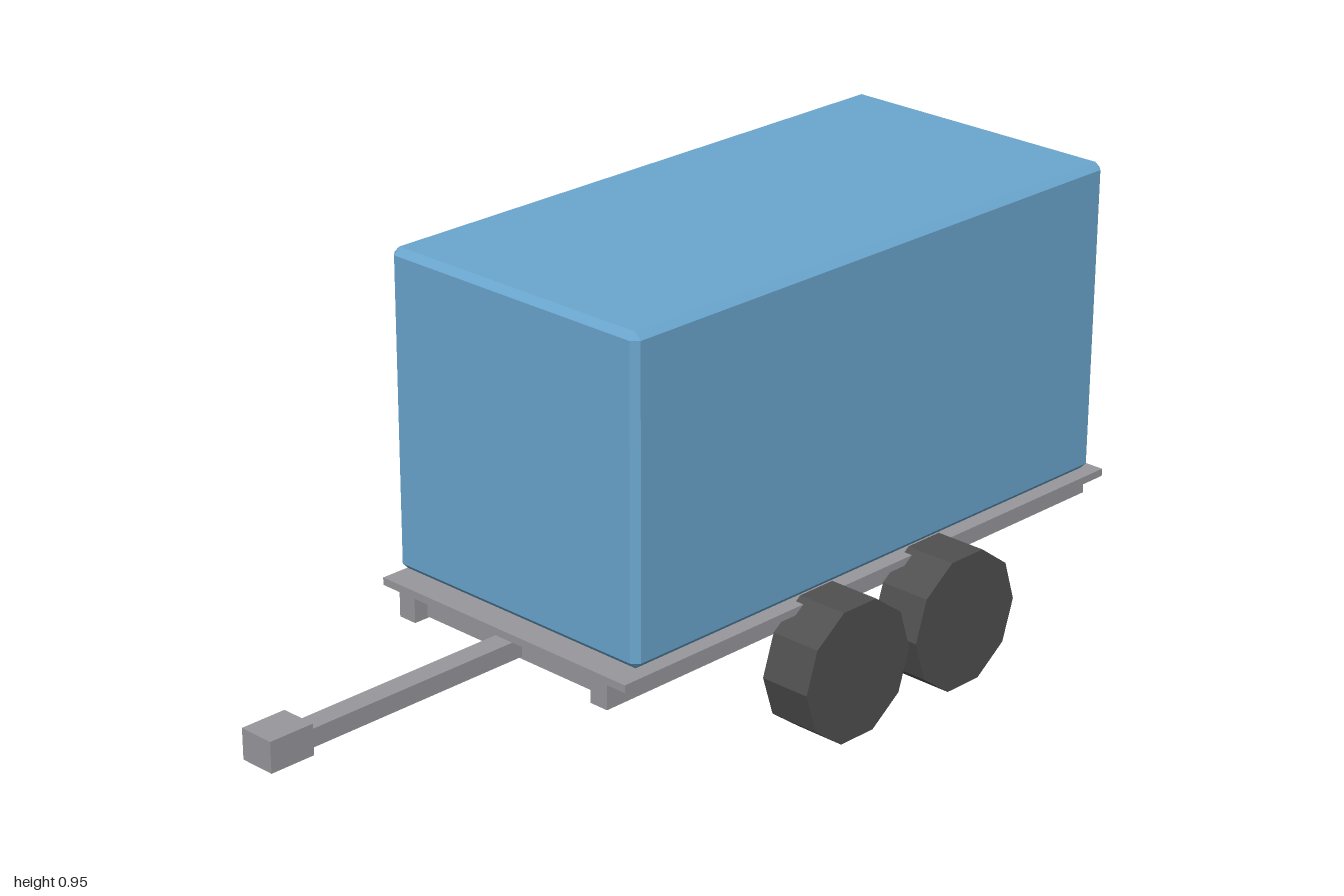
import * as THREE from 'three';
import { ConvexGeometry } from 'three/addons/geometries/ConvexGeometry.js';

const paint = (name, color) => {
  const m = new THREE.MeshStandardMaterial({ color, flatShading: true });
  m.name = name;
  return m;
};

// Box with all twelve edges cut at 45 degrees, from half sizes and cut width
function chamferedBox(hx, hy, hz, c) {
  const points = [];
  for (const sx of [-1, 1]) for (const sy of [-1, 1]) for (const sz of [-1, 1]) {
    points.push(
      new THREE.Vector3(sx * hx, sy * (hy - c), sz * (hz - c)),
      new THREE.Vector3(sx * (hx - c), sy * hy, sz * (hz - c)),
      new THREE.Vector3(sx * (hx - c), sy * (hy - c), sz * hz),
    );
  }
  return new ConvexGeometry(points);
}

export function createModel() {
  const blue = paint('blue body', 0x6aa6ce);
  const grey = paint('grey frame', 0x98979c);
  const rubber = paint('dark rubber', 0x505050);

  const model = new THREE.Group();
  model.name = 'trailer';

  const add = (name, geometry, material, x, y, z) => {
    const mesh = new THREE.Mesh(geometry, material);
    mesh.name = name;
    mesh.position.set(x, y, z);
    model.add(mesh);
  };
  // Frame bar given by its extents
  const bar = (name, x0, x1, y0, y1, z0, z1) =>
    add(name, new THREE.BoxGeometry(x1 - x0, y1 - y0, z1 - z0), grey,
      (x0 + x1) / 2, (y0 + y1) / 2, (z0 + z1) / 2);

  // Cargo box
  add('cargoBox', chamferedBox(0.326, 0.333, 0.666, 0.014), blue, 0, 0.617, -0.3);

  // Deck and underframe
  bar('deck', -0.332, 0.332, 0.257, 0.273, -1, 0.4);
  bar('leftRail', 0.242, 0.285, 0.205, 0.257, -1, 0.4);
  bar('rightRail', -0.285, -0.242, 0.205, 0.257, -1, 0.4);
  for (const [name, z] of [['frontCrossbar', 0.345], ['middleCrossbar', -0.3], ['rearCrossbar', -0.945]]) {
    bar(name, -0.242, 0.242, 0.208, 0.253, z - 0.022, z + 0.022);
  }

  // Towing bar and coupler
  bar('drawbar', -0.023, 0.023, 0.213, 0.251, 0.345, 0.9);
  bar('coupler', -0.039, 0.039, 0.208, 0.272, 0.9, 1);

  // Two ten-sided wheels on each side
  const wheel = new THREE.CylinderGeometry(0.148, 0.148, 0.113, 10).rotateZ(Math.PI / 2);
  for (const [side, x] of [['left', 0.369], ['right', -0.369]]) {
    add(side + 'FrontWheel', wheel, rubber, x, 0.141, -0.142);
    add(side + 'RearWheel', wheel, rubber, x, 0.141, -0.458);
  }

  return model;
}
